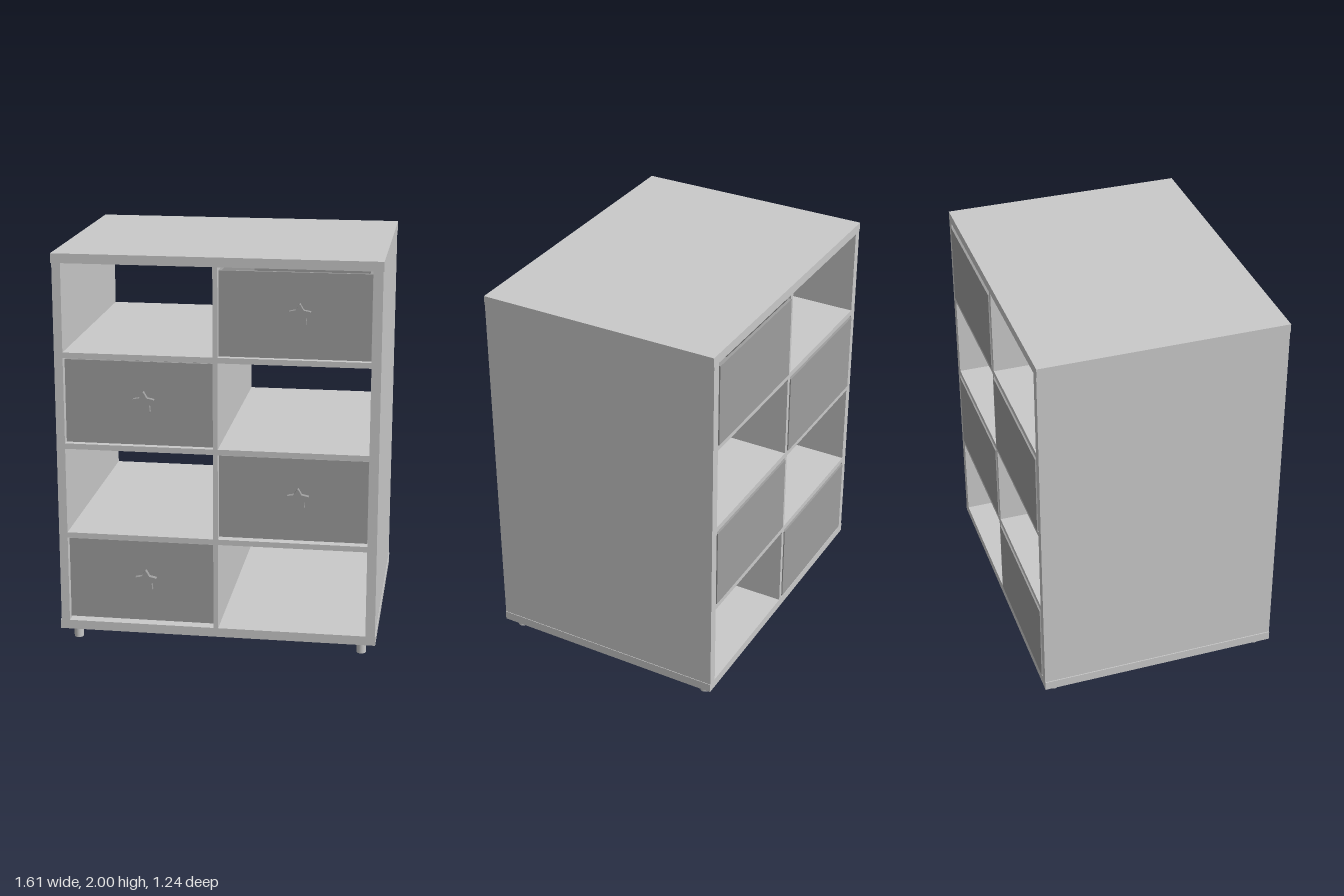
import * as THREE from 'three';

export function createModel() {
  const model = new THREE.Group();
  model.name = 'storageCabinet';
  const frameMat = new THREE.MeshStandardMaterial({ color: 0xc9c9c9 });
  frameMat.name = 'light grey frame';
  const drawerMat = new THREE.MeshStandardMaterial({ color: 0x9d9d9d });
  drawerMat.name = 'mid grey drawer';

  // Box given by its lower and upper limits on each axis
  function box(parent, name, mat, [x0, x1], [y0, y1], [z0, z1]) {
    const mesh = new THREE.Mesh(new THREE.BoxGeometry(x1 - x0, y1 - y0, z1 - z0), mat);
    mesh.position.set((x0 + x1) / 2, (y0 + y1) / 2, (z0 + z1) / 2);
    mesh.name = name;
    parent.add(mesh);
  }

  // Carcass
  const depth = [-0.617, 0.617];
  box(model, 'topPanel', frameMat, [-0.805, 0.803], [1.953, 2], depth);
  box(model, 'basePanel', frameMat, [-0.805, 0.803], [0.06, 0.107], depth);
  box(model, 'rightPanel', frameMat, [-0.8, -0.757], [0.107, 1.953], depth);
  box(model, 'leftPanel', frameMat, [0.753, 0.8], [0.107, 1.953], depth);
  box(model, 'divider', frameMat, [-0.014, 0.01], [0.107, 1.953], depth);
  for (const y of [0.553, 1.02, 1.483]) {
    box(model, 'shelfRight', frameMat, [-0.757, -0.014], [y, y + 0.028], depth);
    box(model, 'shelfLeft', frameMat, [0.01, 0.753], [y, y + 0.028], depth);
  }

  // Feet
  for (const x of [-0.724, 0.73]) {
    for (const z of [-0.55, 0.56]) {
      const foot = new THREE.Mesh(new THREE.CylinderGeometry(0.024, 0.024, 0.06, 16), frameMat);
      foot.position.set(x, 0.03, z);
      foot.name = 'foot';
      model.add(foot);
    }
  }

  // Star knob with softened tips
  const star = new THREE.Shape();
  for (let i = 0; i < 5; i++) {
    const at = (r, a) => [r * Math.cos(a), r * Math.sin(a)];
    const a = Math.PI / 2 + (i * Math.PI * 2) / 5;
    if (i === 0) star.moveTo(...at(0.052, a - 0.1));
    else star.lineTo(...at(0.052, a - 0.1));
    star.quadraticCurveTo(...at(0.062, a), ...at(0.052, a + 0.1));
    star.lineTo(...at(0.033, a + Math.PI / 5));
  }
  star.closePath();
  const starGeo = new THREE.ExtrudeGeometry(star, { depth: 0.026, bevelEnabled: false, curveSegments: 4 });

  // Open-topped drawers in alternating bays
  const wall = 0.015, back = -0.622, front = 0.59;
  const drawers = [[-0.754, 0.12], [0.012, 0.588], [-0.754, 1.05], [0.012, 1.512]];
  for (const [x, y] of drawers) {
    const drawer = new THREE.Group();
    drawer.name = 'drawer';
    const x1 = x + 0.738, y1 = y + 0.422;
    const inner = [back + wall, front - wall];
    box(drawer, 'drawerFront', drawerMat, [x, x1], [y, y1], [front - wall, front]);
    box(drawer, 'drawerBack', drawerMat, [x, x1], [y, y1], [back, back + wall]);
    box(drawer, 'drawerRightSide', drawerMat, [x, x + wall], [y, y1], inner);
    box(drawer, 'drawerLeftSide', drawerMat, [x1 - wall, x1], [y, y1], inner);
    box(drawer, 'drawerBottom', drawerMat, [x + wall, x1 - wall], [y, y + wall], inner);
    const knob = new THREE.Mesh(starGeo, drawerMat);
    knob.position.set(x + 0.393, y + 0.217, front);
    knob.name = 'starKnob';
    drawer.add(knob);
    model.add(drawer);
  }
  return model;
}
